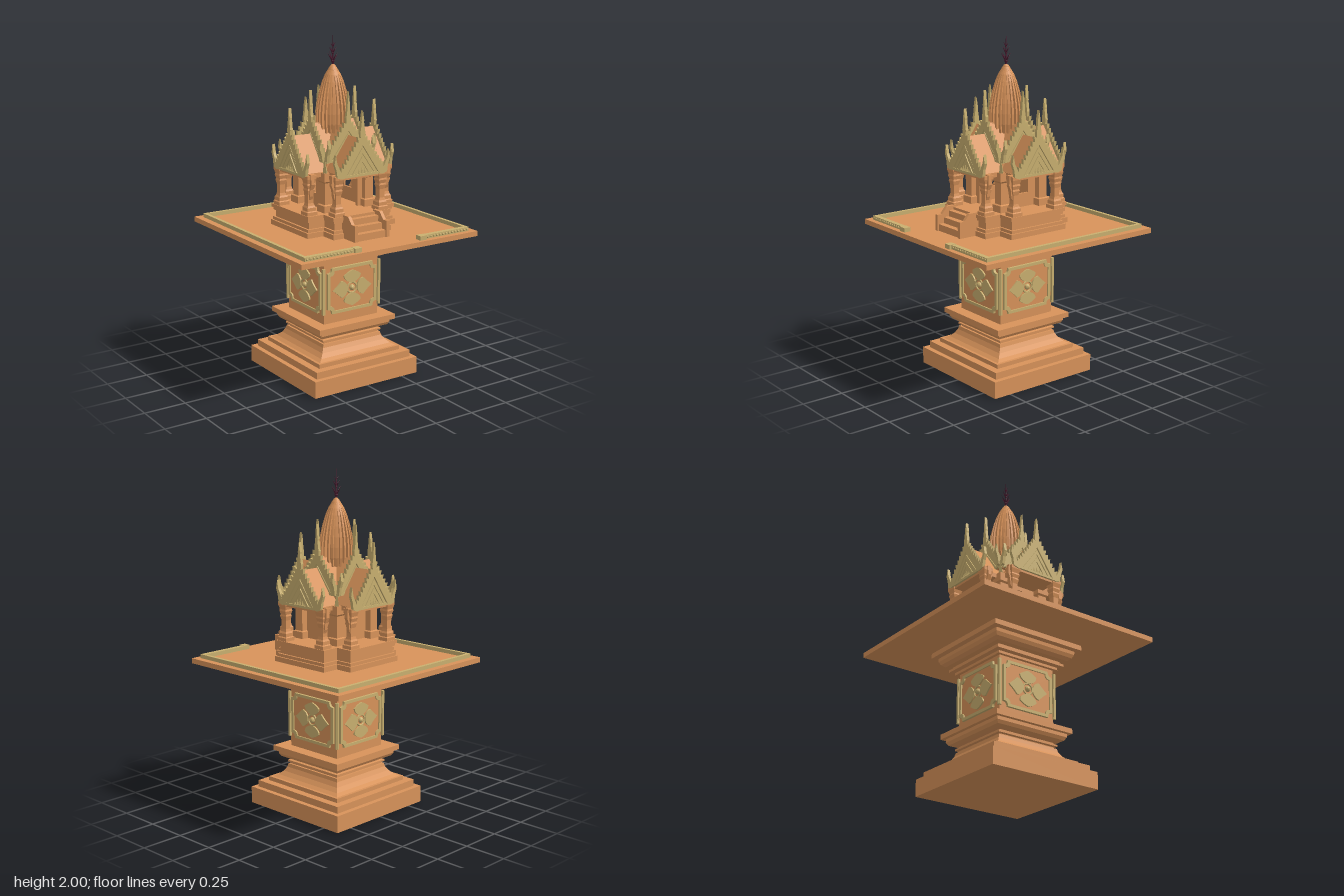
import * as THREE from 'three';

const clay = new THREE.MeshStandardMaterial({ color: 0xd8935a, flatShading: true, side: THREE.DoubleSide });
const gold = new THREE.MeshStandardMaterial({ color: 0xc9b070, flatShading: true, side: THREE.DoubleSide });
const maroon = new THREE.MeshStandardMaterial({ color: 0x4a1c30, flatShading: true });

const V = (pts) => pts.map(([x, y]) => new THREE.Vector2(x, y));

function add(parent, name, geo, mat, x = 0, y = 0, z = 0) {
  const m = new THREE.Mesh(geo, mat);
  m.name = name;
  m.position.set(x, y, z);
  parent.add(m);
  return m;
}
// box given by its minimum and maximum corners
function block(parent, name, mat, [x0, y0, z0], [x1, y1, z1]) {
  return add(parent, name, new THREE.BoxGeometry(x1 - x0, y1 - y0, z1 - z0), mat,
    (x0 + x1) / 2, (y0 + y1) / 2, (z0 + z1) / 2);
}
// square moulding from [half width, height] pairs
const squareLathe = (pts) => new THREE.LatheGeometry(V(pts.map(([r, y]) => [r * Math.SQRT2, y])), 4, Math.PI / 4);
const extrude = (shape, depth) => new THREE.ExtrudeGeometry(shape, { depth, bevelEnabled: false, curveSegments: 6 });
const poly = (pts) => new THREE.Shape(V(pts));

// rectangle with scooped corners
function scooped(w, h, c, Type = THREE.Shape) {
  const s = new Type();
  s.moveTo(w - c, -h);
  s.quadraticCurveTo(w - c, -h + c, w, -h + c);
  s.lineTo(w, h - c);
  s.quadraticCurveTo(w - c, h - c, w - c, h);
  s.lineTo(-w + c, h);
  s.quadraticCurveTo(-w + c, h - c, -w, h - c);
  s.lineTo(-w, -h + c);
  s.quadraticCurveTo(-w + c, -h + c, -w + c, -h);
  s.closePath();
  return s;
}

// flower panel on one face of the shaft
function flowerPanel() {
  const g = new THREE.Group();
  g.name = 'flowerPanel';
  add(g, 'panelBack', extrude(scooped(0.165, 0.13, 0.03), 0.012), clay, 0, 0.556, 0.185);
  const frame = scooped(0.172, 0.138, 0.03);
  frame.holes.push(scooped(0.155, 0.121, 0.03, THREE.Path));
  add(g, 'panelFrame', extrude(frame, 0.02), gold, 0, 0.556, 0.185);
  for (const s of [-1, 1]) block(g, 'edgeStrip', gold, [s * 0.193 - 0.007, 0.42, 0.185], [s * 0.193 + 0.007, 0.695, 0.203]);
  for (let i = 0; i < 4; i++) {
    const [tip, half] = i % 2 ? [0.107, 0.058] : [0.135, 0.05];
    const s = new THREE.Shape();
    s.moveTo(0.033, -0.012);
    s.quadraticCurveTo(0.05, -half, 0.078, -half);
    s.quadraticCurveTo(0.1, -half * 0.5, tip, 0);
    s.quadraticCurveTo(0.1, half * 0.5, 0.078, half);
    s.quadraticCurveTo(0.05, half, 0.033, 0.012);
    add(g, 'petal', extrude(s, 0.012), gold, 0, 0.556, 0.194).rotation.z = i * Math.PI / 2;
  }
  add(g, 'flowerRing', new THREE.TorusGeometry(0.032, 0.006, 6, 20), gold, 0, 0.556, 0.199);
  add(g, 'flowerHeart', new THREE.SphereGeometry(0.018, 12, 8), gold, 0, 0.556, 0.197);
  return g;
}

// toothed gable with upturned tails and a tall finial
function gable(z, w, e, apex, finial) {
  const g = new THREE.Group();
  g.name = 'gable';
  const h = apex - e;
  const right = [[w - 0.005, e - 0.015], [w + 0.025, e - 0.005], [w + 0.032, e + 0.04], [w + 0.045, e + 0.075],
    [w + 0.036, e + 0.125], [w + 0.026, e + 0.075], [w + 0.01, e + 0.045]];
  const n = 9;
  for (let i = 0; i < n; i++) {
    const t = (i + 0.5) / n, x = w * (1 - t), y = e + h * t ** 1.1;
    right.push([x + 0.006, y + 0.014], [x + 0.009, y + 0.045]);
  }
  right.push([0.014, apex + 0.045], [0.008, apex + 0.09], [0.009, apex + 0.1]);
  const left = right.map(([x, y]) => [-x, y]).reverse();
  const board = [...right, [0, finial], ...left, [-w + 0.028, e - 0.01], [0, apex - 0.04], [w - 0.028, e - 0.01]];
  add(g, 'bargeboard', extrude(poly(board), 0.018), gold, 0, 0, z);
  add(g, 'pediment', extrude(poly([[-w, e - 0.01], [w, e - 0.01], [0, apex]]), 0.008), gold, 0, 0, z);
  // nested chevrons and carved centre
  for (const k of [0.72, 0.48]) {
    const a = w * k, t = h * k;
    add(g, 'chevron', extrude(poly([[a, e], [0, e + t], [-a, e], [-a + 0.02, e], [0, e + t - 0.028], [a - 0.02, e]]), 0.014), gold, 0, 0, z);
  }
  for (let i = -2; i <= 2; i++) {
    const hh = 0.042 - Math.abs(i) * 0.01;
    add(g, 'carvedLeaf', new THREE.ConeGeometry(0.009, hh, 4), gold, i * 0.02, e + hh / 2, z + 0.01);
  }
  add(g, 'carvedBand', new THREE.BoxGeometry(2 * w - 0.04, 0.014, 0.016), gold, 0, e - 0.005, z + 0.009);
  return g;
}

const roofPrism = (w, e, apex, len) => extrude(poly([[-w, e], [w, e], [0, apex]]), len);

// plus-shaped slab
function plusSlab(parent, name, a, b, y0, y1) {
  const s = poly([[a, -b], [a, -a], [b, -a], [b, a], [a, a], [a, b], [-a, b], [-a, a], [-b, a], [-b, -a], [-a, -a], [-a, -b]]);
  add(parent, name, extrude(s, y1 - y0), clay, 0, y0, 0).rotation.x = -Math.PI / 2;
  parent.children.at(-1).position.y = y0;
}

export function createModel() {
  const root = new THREE.Group();
  root.name = 'spiritHouse';

  // pedestal and platform
  add(root, 'pedestal', squareLathe([[0, 0], [0.36, 0], [0.36, 0.1], [0.33, 0.1], [0.33, 0.14], [0.285, 0.14], [0.285, 0.165],
    [0.268, 0.165], [0.245, 0.178], [0.222, 0.2], [0.207, 0.225], [0.202, 0.245], [0.19, 0.245], [0.19, 0.255], [0.205, 0.258],
    [0.205, 0.268], [0.19, 0.272], [0.19, 0.28], [0.212, 0.285], [0.232, 0.292], [0.243, 0.31], [0.243, 0.33], [0.265, 0.33],
    [0.265, 0.36], [0.19, 0.36], [0.19, 0.72], [0.21, 0.72], [0.21, 0.735], [0.235, 0.74], [0.235, 0.755], [0.22, 0.76],
    [0.22, 0.77], [0.25, 0.775], [0.27, 0.79], [0.28, 0.81], [0.282, 0.83], [0.31, 0.835], [0.31, 0.866], [0, 0.866]]), clay);
  block(root, 'platform', clay, [-0.6, 0.865, -0.6], [0.6, 0.895, 0.6]);
  for (let k = 0; k < 4; k++) {
    const p = flowerPanel();
    p.rotation.y = k * Math.PI / 2;
    root.add(p);
  }

  // gold border, open at the front
  block(root, 'borderBack', gold, [-0.56, 0.895, -0.56], [0.56, 0.918, -0.54]);
  for (const s of [-1, 1]) {
    block(root, 'borderSide', gold, [s * 0.55 - 0.01, 0.895, -0.54], [s * 0.55 + 0.01, 0.918, 0.54]);
    block(root, 'borderFront', gold, [s * 0.38 - 0.18, 0.895, 0.54], [s * 0.38 + 0.18, 0.918, 0.568]);
    block(root, 'borderEnd', gold, [s * 0.222 - 0.022, 0.895, 0.54], [s * 0.222 + 0.022, 0.92, 0.582]);
    for (let i = 0; i < 14; i++)
      add(root, 'borderStud', new THREE.SphereGeometry(0.008, 6, 4), gold, s * (0.26 + i * 0.022), 0.907, 0.567);
  }

  // stepped cross-shaped base of the house
  [[0.2, 0.305, 0.895, 0.925], [0.19, 0.295, 0.925, 0.943], [0.178, 0.283, 0.943, 0.985],
    [0.188, 0.293, 0.985, 1.0], [0.196, 0.3, 1.0, 1.02]].forEach((a) => plusSlab(root, 'houseBase', ...a));

  // stairs with sloping side walls
  for (let i = 0; i < 3; i++)
    block(root, 'step', clay, [-0.112, 0.895, 0.28], [0.088, 0.935 + i * 0.035, 0.405 - i * 0.036]);
  const cheek = poly([[-0.28, 0.895], [-0.28, 1.03], [-0.345, 1.03], [-0.38, 0.99], [-0.413, 0.99], [-0.413, 0.895]]);
  for (const x of [-0.13, 0.087])
    add(root, 'stairWall', extrude(cheek, 0.02), clay, x).rotation.y = Math.PI / 2;

  // chamber: windows in the side walls, doorway in front
  for (const x of [-0.13, 0.118]) {
    const wall = poly([[-0.13, 1.02], [0.13, 1.02], [0.13, 1.31], [-0.13, 1.31]]);
    wall.holes.push(new THREE.Path(V([[-0.02, 1.1], [0.06, 1.1], [0.06, 1.2], [-0.02, 1.2]])));
    add(root, 'sideWall', extrude(wall, 0.012), clay, x).rotation.y = Math.PI / 2;
  }
  block(root, 'backWall', clay, [-0.118, 1.02, -0.13], [0.118, 1.31, -0.118]);
  for (const s of [-1, 1]) block(root, 'doorJamb', clay, [s * 0.1 - 0.02, 1.02, 0.115], [s * 0.1 + 0.02, 1.23, 0.135]);
  block(root, 'doorLintel', clay, [-0.118, 1.22, 0.118], [0.118, 1.31, 0.13]);
  plusSlab(root, 'ceiling', 0.14, 0.287, 1.225, 1.252);

  const columnGeo = squareLathe([[0, 1.02], [0.034, 1.02], [0.034, 1.04], [0.028, 1.045], [0.028, 1.065], [0.022, 1.075], [0.018, 1.09],
    [0.018, 1.14], [0.024, 1.165], [0.021, 1.175], [0.027, 1.195], [0.024, 1.205], [0.031, 1.23], [0.031, 1.25], [0, 1.25]]);
  const pierGeo = squareLathe([[0, 1.02], [0.038, 1.02], [0.038, 1.06], [0.028, 1.065], [0.028, 1.19], [0.036, 1.2], [0.036, 1.25], [0, 1.25]]);
  const bracket = poly([[0.014, 1.1], [0.026, 1.13], [0.03, 1.17], [0.042, 1.2], [0.038, 1.255], [0.014, 1.255]]);

  // four identical porches with two tiers of roof
  for (let k = 0; k < 4; k++) {
    const porch = new THREE.Group();
    porch.name = 'porch';
    porch.rotation.y = k * Math.PI / 2;
    for (const s of [-1, 1]) {
      add(porch, 'column', columnGeo, clay, s * 0.15, 0, 0.262);
      const b = add(porch, 'columnBracket', extrude(bracket, 0.022), clay, s * 0.15, 0, 0.262 + s * 0.011);
      b.rotation.y = s > 0 ? 0 : Math.PI;
      b.position.z = 0.262 - s * 0.011;
    }
    add(porch, 'cornerPier', pierGeo, clay, 0.14, 0, 0.14);
    const horn = add(porch, 'cornerOrnament', new THREE.ConeGeometry(0.016, 0.1, 4), gold, 0.17, 1.3, 0.17);
    horn.rotation.set(0.2, 0, -0.2);
    add(porch, 'lowerRoof', roofPrism(0.14, 1.25, 1.45, 0.175), clay, 0, 0, 0.11);
    add(porch, 'upperRoof', roofPrism(0.15, 1.3, 1.51, 0.148), clay);
    porch.add(gable(0.282, 0.145, 1.25, 1.455, 1.61), gable(0.143, 0.152, 1.315, 1.515, 1.7));
    root.add(porch);
  }

  // ribbed bud tower
  const bud = [[0.09, 1.45], [0.1, 1.5], [0.1, 1.56], [0.093, 1.62], [0.08, 1.68], [0.062, 1.74], [0.045, 1.78], [0.026, 1.81]];
  add(root, 'budCore', new THREE.LatheGeometry(V([...bud.map(([r, y]) => [r * 0.82, y]), [0.02, 1.822], [0.008, 1.835], [0, 1.84]]), 24), clay);
  const rib = extrude(poly([...bud, ...bud.map(([r, y]) => [r * 0.7, y]).reverse()]), 0.011).translate(0, 0, -0.0055);
  for (let i = 0; i < 24; i++) add(root, 'budRib', rib, clay).rotation.y = (i / 24) * Math.PI * 2;
  add(root, 'budCap', new THREE.LatheGeometry(V([[0.034, 1.795], [0.026, 1.812], [0.014, 1.83], [0, 1.84]]), 24), clay);

  // leafy spire
  add(root, 'spire', new THREE.CylinderGeometry(0.001, 0.006, 0.17, 8), maroon, 0, 1.915, 0);
  for (const [y, len, n] of [[1.853, 0.062, 4], [1.9, 0.045, 4], [1.935, 0.03, 4]]) {
    add(root, 'spireBead', new THREE.SphereGeometry(len * 0.17, 8, 6), maroon, 0, y, 0);
    const leaf = new THREE.ConeGeometry(len * 0.12, len, 4).translate(0, len / 2, 0).rotateZ(-0.65);
    for (let i = 0; i < n; i++) add(root, 'spireLeaf', leaf, maroon, 0, y, 0).rotation.y = i * Math.PI / 2;
  }
  return root;
}
